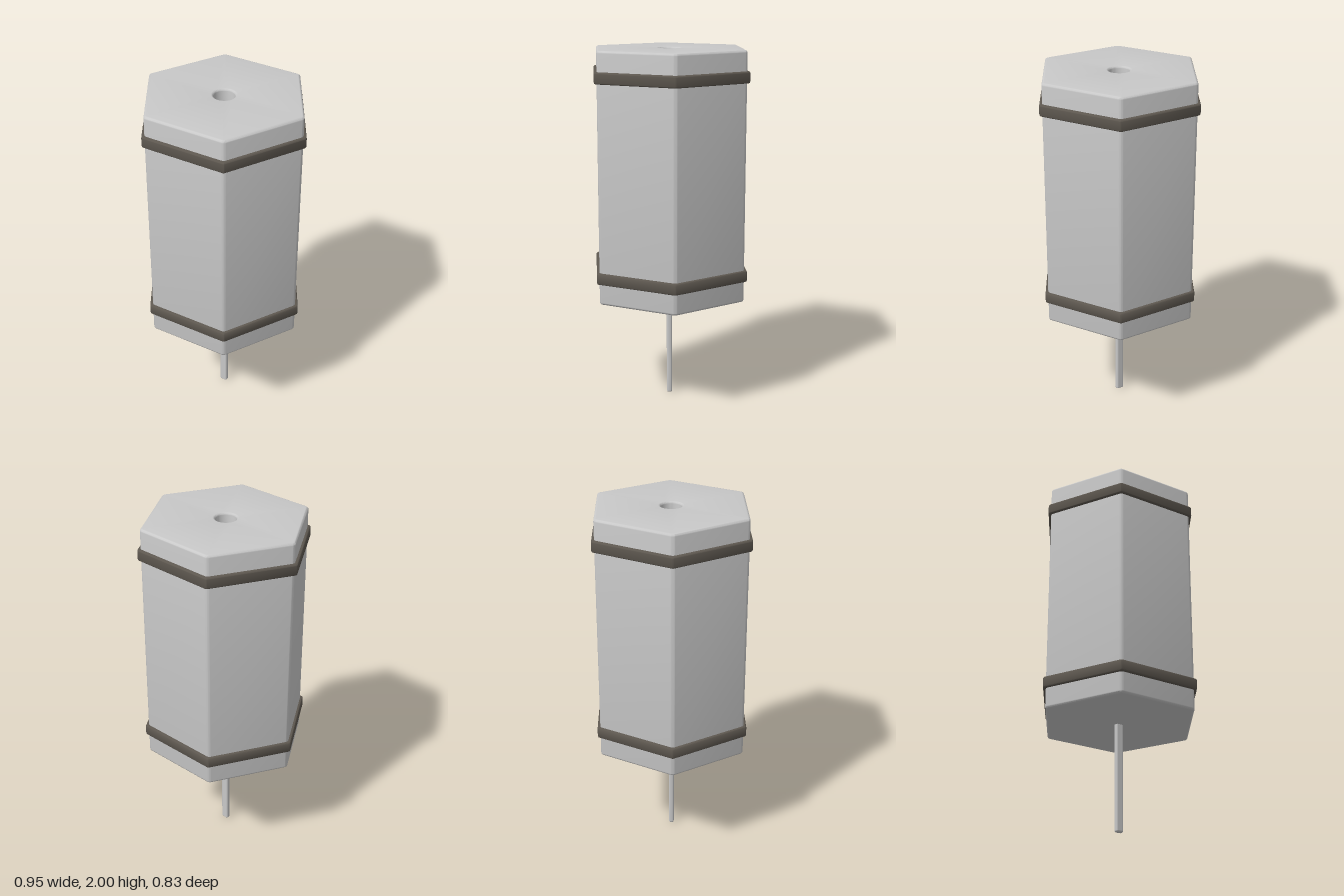
import * as THREE from 'three';
import { toCreasedNormals } from 'three/addons/utils/BufferGeometryUtils.js';
import { RoundedBoxGeometry } from 'three/addons/geometries/RoundedBoxGeometry.js';

const ARC = 6; // points per rounded corner
const RAD = Math.PI / 180;

// Rounded hexagon with corners on +-x; a = half width across flats, r = corner radius.
function hexRing(a, r, y) {
  const pts = [];
  const d = (a - r) / Math.cos(30 * RAD);
  for (let j = 0; j < 6; j++) {
    for (let k = 0; k < ARC; k++) {
      const c = j * 60 * RAD;
      const t = c + (-30 + (60 * k) / (ARC - 1)) * RAD;
      pts.push(new THREE.Vector3(d * Math.cos(c) + r * Math.cos(t), y, -d * Math.sin(c) - r * Math.sin(t)));
    }
  }
  return pts;
}

function circleRing(radius, y) {
  const n = 6 * ARC, pts = [];
  for (let i = 0; i < n; i++) {
    const t = ((i - (ARC - 1) / 2) / n) * Math.PI * 2;
    pts.push(new THREE.Vector3(radius * Math.cos(t), y, -radius * Math.sin(t)));
  }
  return pts;
}

// Joins successive rings with faces, smoothing only the shallow angles.
function loft(rings) {
  const pos = [];
  const tri = (a, b, c) => pos.push(...a.toArray(), ...b.toArray(), ...c.toArray());
  for (let s = 0; s < rings.length - 1; s++) {
    const p = rings[s], q = rings[s + 1], n = p.length;
    for (let i = 0; i < n; i++) {
      const j = (i + 1) % n;
      if (p[i].distanceTo(p[j]) > 1e-6) tri(p[i], p[j], q[j]);
      if (q[i].distanceTo(q[j]) > 1e-6) tri(p[i], q[j], q[i]);
    }
  }
  const g = new THREE.BufferGeometry();
  g.setAttribute('position', new THREE.Float32BufferAttribute(pos, 3));
  return toCreasedNormals(g, 0.6);
}

// Rings of the outer wall from y0 to y1, with rounded rims of size b.
function wallRings(a, r, y0, y1, b) {
  const rings = [], steps = 4;
  for (const top of [false, true]) {
    for (let i = 0; i <= steps; i++) {
      const t = ((top ? i : steps - i) / steps) * Math.PI / 2;
      const inset = b * (1 - Math.cos(t)), rise = b * (1 - Math.sin(t));
      rings.push(hexRing(a - inset, r - inset, top ? y1 - b + (b - rise) : y0 + rise));
    }
  }
  return rings;
}

export function createModel() {
  const model = new THREE.Group();
  const shell = new THREE.MeshStandardMaterial({ color: 0xc8c8c8 });
  shell.name = 'light grey';
  const dark = new THREE.MeshStandardMaterial({ color: 0x5e5850 });
  dark.name = 'dark brown grey';

  const add = (name, geometry, material, y = 0) => {
    const mesh = new THREE.Mesh(geometry, material);
    mesh.name = name;
    mesh.position.y = y;
    model.add(mesh);
    return mesh;
  };

  // Hexagonal body, closed below, with a softened round socket in the top
  const bottom = 0.61, top = 2, hole = 0.057, lip = 0.012, floor = 1.8;
  const rings = [circleRing(0, bottom), ...wallRings(0.4, 0.025, bottom, top, 0.014)];
  for (let i = 0; i <= 4; i++) {
    const t = (i / 4) * Math.PI / 2;
    rings.push(circleRing(hole + lip * (1 - Math.sin(t)), top - lip * (1 - Math.cos(t))));
  }
  rings.push(circleRing(hole, floor));
  add('body', loft(rings), shell);

  // Dark floor of the socket
  const disc = new THREE.CircleGeometry(hole, 36);
  disc.rotateX(-Math.PI / 2);
  add('socketFloor', disc, dark, floor);

  // Two bands around the body
  for (const [name, y] of [['lowerBand', 0.76], ['upperBand', 1.857]]) {
    const h = 0.032;
    add(name, loft([
      hexRing(0.39, 0.02, y - h),
      ...wallRings(0.415, 0.016, y - h, y + h, 0.01),
      hexRing(0.39, 0.02, y + h),
    ]), dark);
  }

  // Flat stem below
  add('stem', new RoundedBoxGeometry(0.045, 0.63, 0.029, 4, 0.01), shell, 0.315);

  return model;
}
